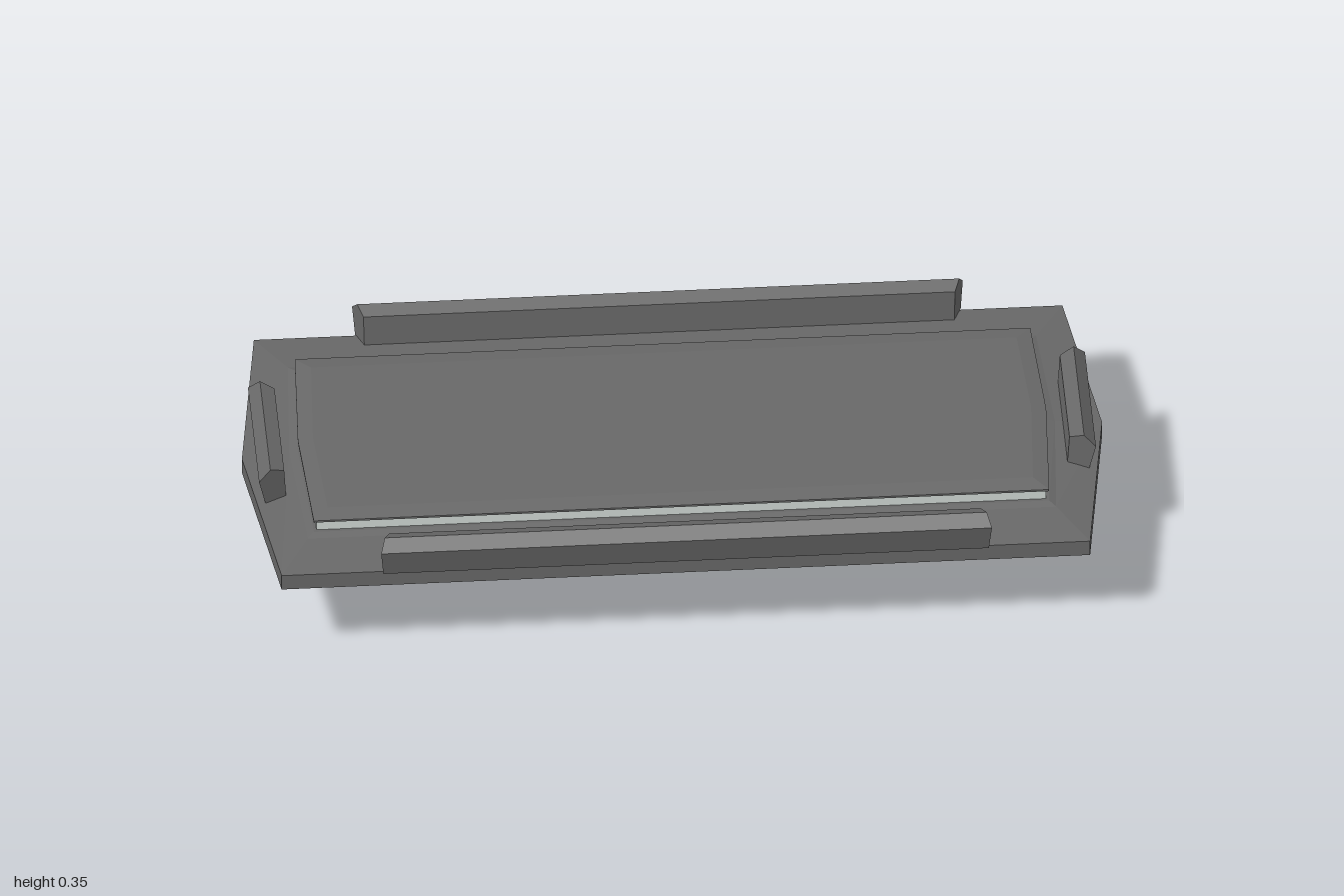
import * as THREE from 'three';

// Skin a stack of equal-length rings, with optional end caps, as flat facets
function loft(rings, capStart, capEnd) {
  const pos = [];
  const tri = (...points) => points.forEach((p) => pos.push(...p));
  const n = rings[0].length;
  for (let r = 0; r < rings.length - 1; r++) {
    for (let i = 0; i < n; i++) {
      const j = (i + 1) % n;
      const [a, b, c, d] = [rings[r][i], rings[r][j], rings[r + 1][j], rings[r + 1][i]];
      tri(a, d, c);
      tri(a, c, b);
    }
  }
  const first = rings[0], last = rings[rings.length - 1];
  for (let i = 1; i < n - 1; i++) {
    if (capStart) tri(first[0], first[i], first[i + 1]);
    if (capEnd) tri(last[0], last[i + 1], last[i]);
  }
  const geometry = new THREE.BufferGeometry();
  geometry.setAttribute('position', new THREE.Float32BufferAttribute(pos, 3));
  geometry.computeVertexNormals();
  return geometry;
}

// Long hexagon: corner x, middle tip x, half depth, height
const hexRing = ([cx, tip, z, y]) => [
  [tip, y, 0], [cx, y, z], [-cx, y, z], [-tip, y, 0], [-cx, y, -z], [cx, y, -z],
];

// Rail along x whose outer edge is at z = outer; its ends taper inward
function railGeometry(outer, half, slope) {
  const profile = [[0, 0.32], [-0.027, 0.346], [-0.06, 0.333], [-0.065, 0.252], [-0.016, 0.25]];
  const end = (s) => profile.map(([u, y]) => [s * (half + u * slope), y, outer + u]);
  return loft([end(-1), end(1)], true, true);
}

export function createModel() {
  const group = new THREE.Group();
  const paint = (name, color) => {
    const material = new THREE.MeshStandardMaterial({ color });
    material.name = name;
    return material;
  };
  const grey = paint('grey metal', 0x686868);
  const dark = paint('dark underside', 0x1e1e1e);
  const stemDark = paint('dark stem', 0x2c2c2c);
  const light = paint('pale light strip', 0xd2dad6);

  const add = (name, geometry, material) => {
    const mesh = new THREE.Mesh(geometry, material);
    mesh.name = name;
    group.add(mesh);
    return mesh;
  };
  const hexLoft = (rows, start, end) => loft(rows.map(hexRing), start, end);

  // Tapered underside and the grey deck above it
  add('underside', hexLoft([[0.71, 0.76, 0.225, 0.14], [0.94, 1, 0.455, 0.212]], true, false), dark);
  add('deck', hexLoft([
    [0.94, 1, 0.455, 0.212],
    [0.94, 1, 0.455, 0.252],
    [0.87, 0.89, 0.33, 0.262],
    [0.855, 0.87, 0.312, 0.267],
  ], false, true), grey);

  // Glowing band and chamfered lid
  add('lightStrip', hexLoft([[0.848, 0.862, 0.304, 0.266], [0.848, 0.862, 0.304, 0.295]], false, false), light);
  add('topPanel', hexLoft([
    [0.855, 0.87, 0.312, 0.294],
    [0.855, 0.87, 0.312, 0.299],
    [0.82, 0.835, 0.27, 0.305],
  ], true, true), grey);

  // Guard rails on all four sides
  for (const side of [0, 1]) {
    const longRail = add(side ? 'backRail' : 'frontRail', railGeometry(0.478, 0.71, 0.37), grey);
    longRail.rotation.y = side * Math.PI;
    const endRail = add(side ? 'rightRail' : 'leftRail', railGeometry(0.973, 0.183, 0.42), grey);
    endRail.rotation.y = (side ? -1 : 1) * Math.PI / 2;
  }

  // Octagonal stem
  const octagon = ([r, y]) => Array.from({ length: 8 }, (_, i) => {
    const a = (i * Math.PI) / 4;
    return [r * Math.cos(a), y, r * Math.sin(a)];
  });
  const stemRows = [[0.052, 0], [0.071, 0.083], [0.112, 0.126], [0.112, 0.142]];
  add('stem', loft(stemRows.map(octagon), false, true), stemDark);
  const foot = add('stemFoot', new THREE.CircleGeometry(0.052, 8), grey);
  foot.rotation.x = Math.PI / 2;

  return group;
}
